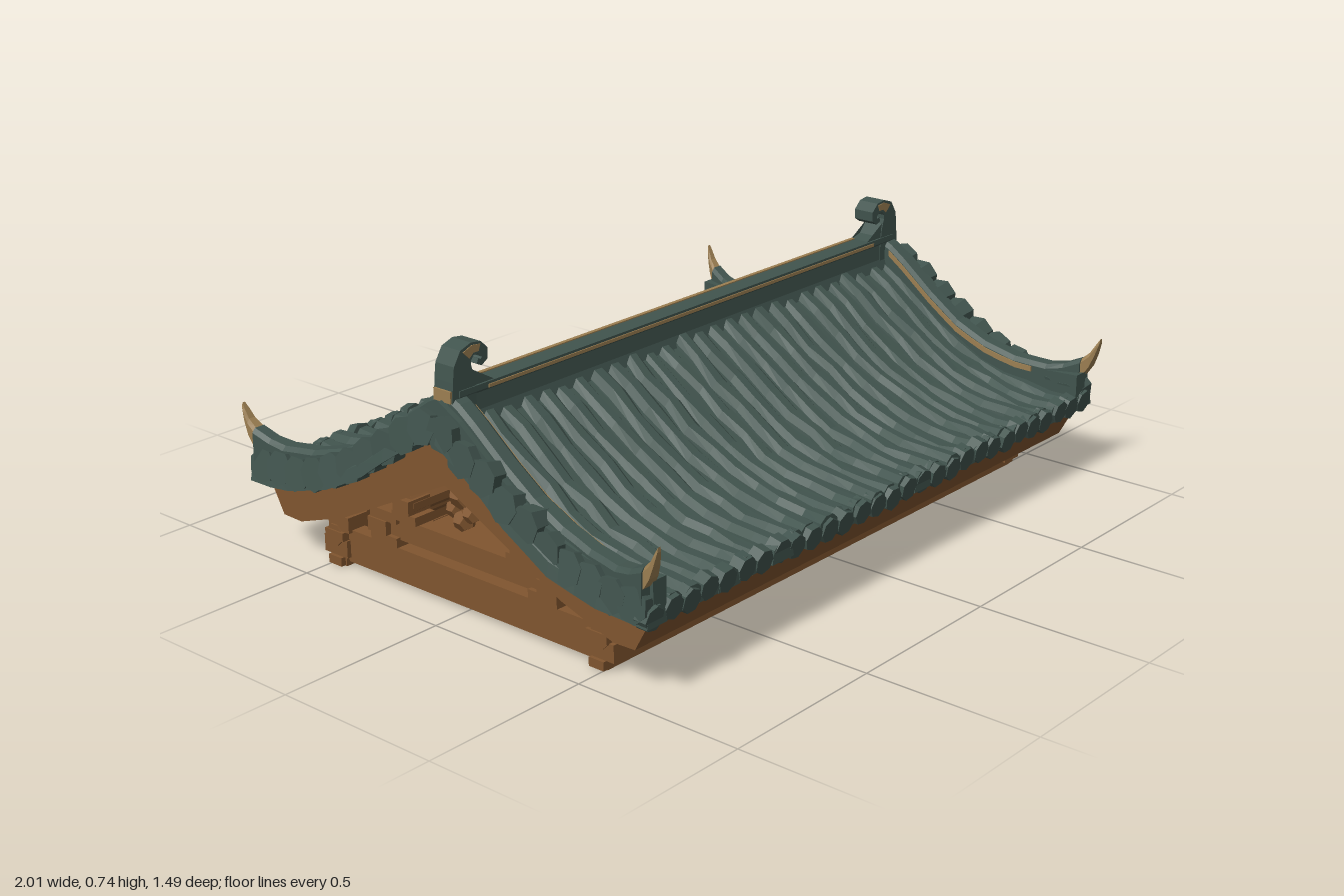
import * as THREE from 'three';

const flat = (name, color) => Object.assign(new THREE.MeshStandardMaterial({ color, flatShading: true }), { name });

export function createModel() {
  const tileGreen = flat('tile green', 0x41544e);
  const wood = flat('wood brown', 0x80552f);
  const gold = flat('trim gold', 0x9c7f52);

  let seed = 7;
  const jitter = (a) => {
    seed = (seed * 16807) % 2147483647;
    return (seed / 2147483647 - 0.5) * 2 * a;
  };

  const model = new THREE.Group();
  model.name = 'gabledTileRoof';

  const add = (parent, name, geometry, material) => {
    const mesh = new THREE.Mesh(geometry, material);
    mesh.name = name;
    parent.add(mesh);
    return mesh;
  };
  const box = (parent, name, material, x0, x1, y0, y1, z0, z1) => {
    const g = new THREE.BoxGeometry(Math.abs(x1 - x0), y1 - y0, Math.abs(z1 - z0));
    g.translate((x0 + x1) / 2, (y0 + y1) / 2, (z0 + z1) / 2);
    return add(parent, name, g, material);
  };

  // Extrude a [z, y] outline along x
  const extrudeX = (pts, x0, x1) => {
    const shape = new THREE.Shape(pts.map(([z, y]) => new THREE.Vector2(-z, y)));
    const g = new THREE.ExtrudeGeometry(shape, { depth: x1 - x0, bevelEnabled: false });
    return g.rotateY(Math.PI / 2).translate(x0, 0, 0);
  };

  // Skin equal rings of [x, y, z] points, cap both ends, face outward
  const loft = (rings) => {
    const n = rings[0].length, idx = [], p = rings.flat();
    for (let r = 0; r < rings.length - 1; r++) {
      for (let i = 0; i < n; i++) {
        const a = r * n + i, b = r * n + (i + 1) % n;
        idx.push(a, b, a + n, b, b + n, a + n);
      }
    }
    const e = (rings.length - 1) * n;
    for (let i = 1; i < n - 1; i++) idx.push(0, i + 1, i, e, e + i, e + i + 1);
    let volume = 0;
    const o = new THREE.Vector3(...p[0]);
    const v = (i) => new THREE.Vector3(...p[i]).sub(o);
    for (let i = 0; i < idx.length; i += 3) volume += v(idx[i]).dot(v(idx[i + 1]).cross(v(idx[i + 2])));
    if (volume < 0) idx.reverse();
    const g = new THREE.BufferGeometry();
    g.setAttribute('position', new THREE.Float32BufferAttribute(p.flat(), 3));
    g.setIndex(idx);
    g.computeVertexNormals();
    return g;
  };

  // Height along the slope from a few [z, y] points
  const heightCurve = (pts) => (z) => {
    let i = 0;
    while (i < pts.length - 2 && z > pts[i + 1][0]) i++;
    const [a, b] = [pts[i], pts[i + 1]];
    return a[1] + (b[1] - a[1]) * (z - a[0]) / (b[0] - a[0]);
  };
  const tileY = heightCurve([[0, 0.555], [0.1, 0.49], [0.2, 0.42], [0.3, 0.355], [0.4, 0.305], [0.5, 0.272], [0.6, 0.255], [0.72, 0.25]]);
  const vergeY = heightCurve([[0, 0.625], [0.03, 0.615], [0.1, 0.565], [0.2, 0.485], [0.3, 0.415], [0.4, 0.37], [0.5, 0.343], [0.6, 0.335], [0.68, 0.35], [0.72, 0.385], [0.745, 0.43]]);
  const skirtY = heightCurve([[0, 0.5], [0.2, 0.38], [0.4, 0.26], [0.5, 0.23], [0.72, 0.205]]);
  const steps = (a, b, n) => Array.from({ length: n + 1 }, (_, i) => a + (b - a) * i / n);
  const band = (top, bottom, z0, z1) => {
    const zs = steps(z0, z1, 10);
    return [...zs.map((z) => [z, bottom(z)]), ...zs.reverse().map((z) => [z, top(z)])];
  };

  // Chevron timber shell under the tiles
  const half = [[0.2, 0.41], [0.4, 0.275], [0.55, 0.225], [0.69, 0.212], [0.64, 0.12], [0.57, 0.118], [0.4, 0.175]];
  add(model, 'timberShell', extrudeX([[0, 0.53], ...half, [0, 0.375],
    ...half.slice().reverse().map(([z, y]) => [-z, y])], -0.95, 0.95), wood);

  const buildSlope = (name) => {
    const slope = new THREE.Group();
    slope.name = name;
    add(slope, 'tileBed', extrudeX(band(tileY, (z) => tileY(z) - 0.045, 0, 0.7), -0.94, 0.94), tileGreen);

    // Uneven tile ribs running down to the eave
    const count = 29, pitch = 1.92 / (count - 1);
    const arch = [[-0.038, -0.035], [-0.031, 0.003], [-0.012, 0.018], [0.014, 0.017], [0.03, 0.002], [0.038, -0.035]];
    for (let c = 0; c < count; c++) {
      const cx = -0.96 + c * pitch, lift = jitter(0.005), zEnd = 0.708 + jitter(0.008);
      const rings = steps(0.02, zEnd, 9).map((z) => {
        const dx = cx + jitter(0.008), w = 1 + jitter(0.15), dy = lift + jitter(0.005);
        return arch.map(([x, y]) => [dx + x * w, tileY(z) + y + dy, z]);
      });
      add(slope, 'tileRib', loft(rings), tileGreen);
      const cap = new THREE.CylinderGeometry(0.034, 0.038, 0.035, 7);
      cap.rotateY(jitter(0.4)).rotateX(Math.PI / 2 + 0.15).translate(cx + jitter(0.006), 0.236 + jitter(0.006), 0.698);
      add(slope, 'eaveTileEnd', cap, tileGreen);
    }

    for (const s of [-1, 1]) {
      // Verge wall and its row of lumpy end tiles
      const wall = extrudeX(band((z) => vergeY(Math.min(z, 0.66)) - 0.02, (z) => skirtY(z) + 0.02, 0, 0.71), s > 0 ? 0.915 : -0.962, s > 0 ? 0.962 : -0.915);
      add(slope, 'vergeWall', wall, tileGreen);
      for (let i = 0; i < 10; i++) {
        const z = 0.035 + i * 0.0705;
        const g = new THREE.CylinderGeometry(0.04, 0.05, 0.075, 7);
        g.rotateY(jitter(0.6)).rotateZ(s * (Math.PI / 2 + 0.12 + jitter(0.08)));
        g.translate(s * 0.957, skirtY(z) + 0.05 + jitter(0.006), Math.min(z, 0.668));
        add(slope, 'vergeTileEnd', g, tileGreen);
      }

      // Raised verge ridge that flares outward to a horned corner
      const cx = (z) => 0.915 + 0.065 * Math.pow(Math.max(0, (z - 0.3) / 0.445), 2);
      const ridgeRing = (z, w, depth) => {
        const x = cx(z), y = vergeY(z);
        return [[x - w, y - depth, z], [x + w, y - depth, z], [x + w, y - 0.012, z],
          [x + w * 0.6, y, z], [x - w * 0.6, y, z], [x - w, y - 0.012, z]].map(([a, b, c]) => [s * a, b, c]);
      };
      add(slope, 'vergeRidge', loft(steps(0, 0.7, 14).map((z) => ridgeRing(z, z > 0.6 ? 0.026 : 0.031, 0.1))), tileGreen);
      add(slope, 'cornerHorn', loft([[0.685, 0.022, 0.06], [0.705, 0.02, 0.055], [0.722, 0.017, 0.045], [0.735, 0.013, 0.032], [0.745, 0.007, 0.013]]
        .map((r) => ridgeRing(...r))), gold);
      add(slope, 'vergeTrim', loft(steps(0.05, 0.56, 10).map((z) => {
        const x = cx(z) - 0.031, y = vergeY(z);
        return [[x - 0.004, y - 0.03], [x + 0.003, y - 0.03], [x + 0.003, y - 0.014], [x - 0.004, y - 0.014]]
          .map(([a, b]) => [s * a, b, z]);
      })), gold);
    }
    return slope;
  };
  const front = buildSlope('frontSlope');
  const back = front.clone();
  back.name = 'backSlope';
  back.rotation.y = Math.PI;
  model.add(front, back);

  // Main ridge with gold lines
  add(model, 'mainRidge', extrudeX([[-0.05, 0.5], [0.05, 0.5], [0.032, 0.56], [0.03, 0.605], [0.036, 0.612], [0.036, 0.628],
    [-0.036, 0.628], [-0.036, 0.612], [-0.03, 0.605], [-0.032, 0.56]], -0.92, 0.92), tileGreen);
  box(model, 'ridgeTopTrim', gold, -0.8, 0.8, 0.626, 0.631, -0.032, -0.02);
  for (const s of [-1, 1]) box(model, 'ridgeSideTrim', gold, -0.82, 0.82, 0.612, 0.621, s * 0.033, s * 0.039);

  // Scrolled ridge ends: [x, y, half width] along the curl
  const curl = [[0.902, 0.52, 0.042], [0.902, 0.6, 0.042], [0.903, 0.655, 0.037], [0.905, 0.69, 0.03], [0.893, 0.715, 0.025],
    [0.87, 0.727, 0.018], [0.846, 0.725, 0.016], [0.828, 0.71, 0.014], [0.827, 0.693, 0.011], [0.84, 0.684, 0.009], [0.853, 0.69, 0.007]];
  for (const s of [-1, 1]) {
    const curlRings = (from, to, zh, k) => curl.slice(from, to).map(([x, y, w], j) => {
      const i = from + j, a = curl[Math.max(0, i - 1)], b = curl[Math.min(curl.length - 1, i + 1)];
      const l = Math.hypot(b[0] - a[0], b[1] - a[1]), nx = (b[1] - a[1]) / l * w * k, ny = -(b[0] - a[0]) / l * w * k;
      return [[x + nx, y + ny, zh], [x - nx, y - ny, zh], [x - nx, y - ny, -zh], [x + nx, y + ny, -zh]]
        .map(([px, py, pz]) => [s * px, py, pz]);
    });
    add(model, 'ridgeScroll', loft(curlRings(0, curl.length, 0.033, 1)), tileGreen);
    add(model, 'scrollTrim', loft(curlRings(4, 7, 0.035, 0.6)), gold);
    const fillet = [[0.79, 0.625], [0.84, 0.638], [0.875, 0.675], [0.9, 0.6]];
    add(model, 'scrollFoot', loft([-0.03, 0.03].map((z) => fillet.map(([x, y]) => [s * x, y, z]))), tileGreen);
    box(model, 'ridgeEndPlate', gold, s * 0.942, s * 0.948, 0.6, 0.632, -0.03, 0.03);
  }

  // Ceiling panel and long stepped eave beams
  box(model, 'ceilingPanel', wood, -0.89, 0.89, 0.015, 0.03, -0.48, 0.48);
  const log = (name, r, len, y, z) => {
    const g = new THREE.CylinderGeometry(r, r, len, 8);
    add(model, name, g.rotateY(Math.PI / 8).rotateZ(Math.PI / 2).translate(0, y, z), wood);
  };
  for (const s of [-1, 1]) {
    box(model, 'eaveBeamLow', wood, -0.9, 0.9, 0.003, 0.032, s * 0.45, s * 0.505);
    box(model, 'eaveBeamMiddle', wood, -0.885, 0.885, 0.032, 0.068, s * 0.455, s * 0.52);
    log('eavePurlin', 0.032, 1.82, 0.09, s * 0.485);
    box(model, 'eaveBeamTop', wood, -0.9, 0.9, 0.11, 0.15, s * 0.45, s * 0.505);
    log('middlePurlin', 0.03, 1.78, 0.175, s * 0.31);
    log('upperPurlin', 0.028, 1.78, 0.245, s * 0.21);
  }
  log('ridgePurlin', 0.035, 1.78, 0.335, 0);

  // Gable trusses: tie beams, bracket blocks and a carved pendant
  for (const s of [-1, 1]) {
    const block = (name, w, y0, y1, z, d) => box(model, name, wood, s * (0.87 - w), s * (0.87 + w), y0, y1, z - d, z + d);
    block('tieBeam', 0.022, 0.024, 0.112, 0, 0.46);
    block('collarBeam', 0.022, 0.138, 0.2, 0, 0.31);
    for (const t of [-1, 1]) {
      block('footBlock', 0.045, 0.005, 0.03, t * 0.48, 0.025);
      block('footBracket', 0.035, 0.03, 0.08, t * 0.485, 0.045);
      block('footBracketCap', 0.045, 0.08, 0.105, t * 0.48, 0.035);
      block('footBracketTop', 0.035, 0.105, 0.15, t * 0.47, 0.04);
      block('collarSeat', 0.035, 0.118, 0.145, t * 0.29, 0.05);
      block('collarBracket', 0.04, 0.145, 0.185, t * 0.31, 0.035);
      block('collarBracketCap', 0.035, 0.185, 0.215, t * 0.29, 0.05);
      block('upperBracket', 0.035, 0.2, 0.225, t * 0.21, 0.045);
      block('upperBracketCap', 0.04, 0.225, 0.265, t * 0.215, 0.03);
    }
    for (const [y, z, r] of [[0.33, 0, 0.04], [0.285, 0.03, 0.028], [0.285, -0.03, 0.028], [0.26, 0, 0.032]]) {
      const g = new THREE.DodecahedronGeometry(r).translate(s * 0.885, y, z);
      add(model, 'gablePendant', g, wood);
    }
  }
  return model;
}
